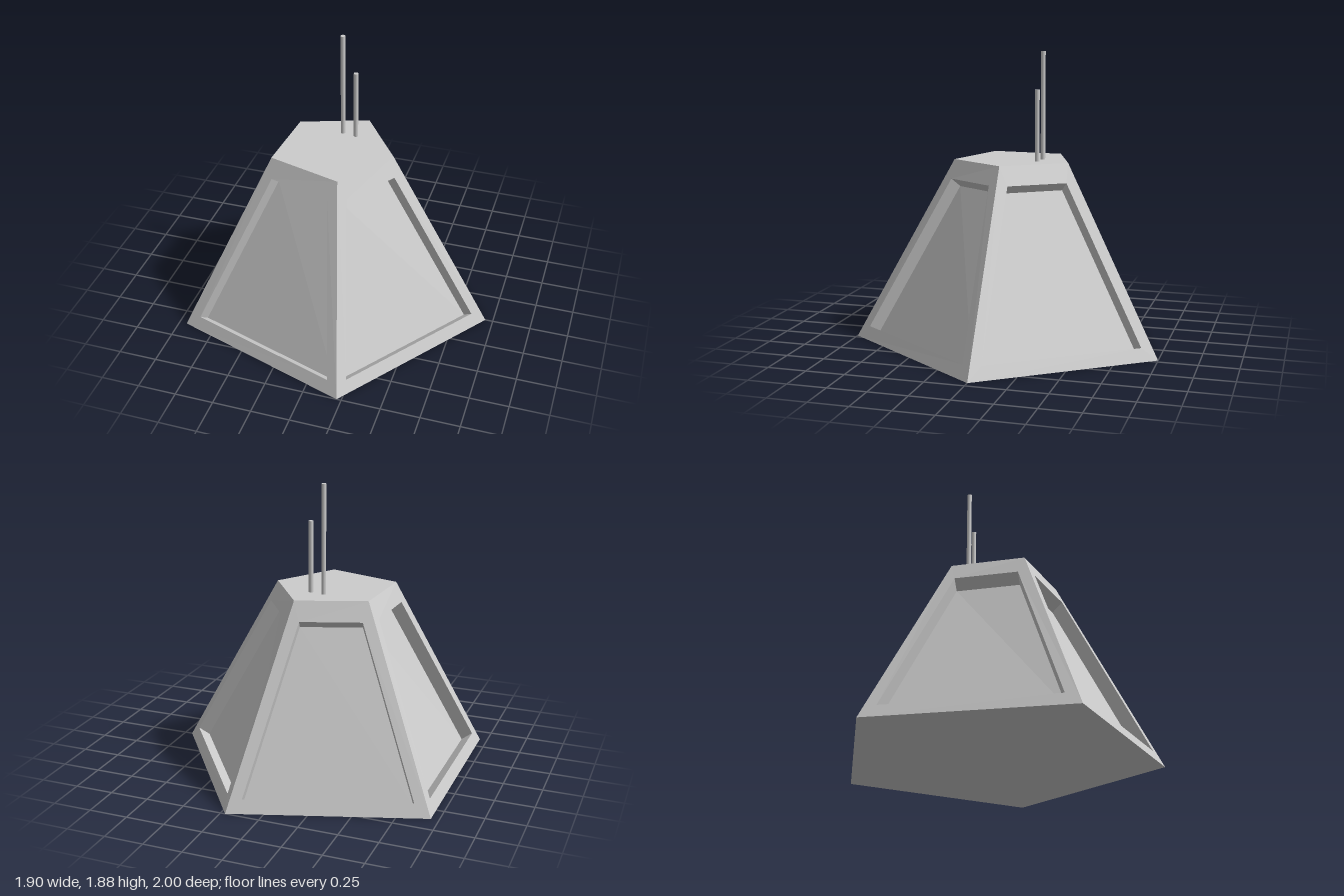
import * as THREE from 'three';

const HEIGHT = 1.18;
const BASE = [[0.95, 0], [0.22, 1], [-0.95, 0.62], [-0.95, -0.62], [0.22, -1]];
const TOP = [[0.285, 0], [0.035, 0.375], [-0.44, 0.24], [-0.41, -0.225], [0.02, -0.375]];
const BORDER = 0.073;   // frame width beside each sloping edge
const DEPTH = 0.07;     // horizontal recess of the panel
const DROP = 0.055;     // downward shift of the panel

const material = new THREE.MeshStandardMaterial({ color: 0xcccccc, flatShading: true });

// Flat-faced mesh from convex polygons, corners counter-clockwise from outside
function polygonMesh(name, polygons) {
  const points = [];
  for (const p of polygons) {
    for (let i = 1; i < p.length - 1; i++) points.push(p[0], p[i], p[i + 1]);
  }
  const geometry = new THREE.BufferGeometry().setFromPoints(points);
  geometry.computeVertexNormals();
  const mesh = new THREE.Mesh(geometry, material);
  mesh.name = name;
  return mesh;
}

// Quads joining one loop of corners to the loop inside it
function ring(outer, inner) {
  return outer.map((p, k) => {
    const n = (k + 1) % outer.length;
    return [p, outer[n], inner[n], inner[k]];
  });
}

function createSide(i) {
  const j = (i + 1) % 5;
  const at = (list, k, y) => new THREE.Vector3(list[k][0], y, list[k][1]);
  const a = at(BASE, i, 0), b = at(BASE, j, 0);
  const c = at(TOP, j, HEIGHT), d = at(TOP, i, HEIGHT);

  // Point on the left or right border of the opening at height y
  const border = (low, high, y, lowEnd, highEnd) => {
    const t = y / HEIGHT;
    const p = low.clone().lerp(high, t);
    const q = lowEnd.clone().lerp(highEnd, t);
    return p.add(q.sub(p).normalize().multiplyScalar(BORDER));
  };
  const outer = [a, d, c, b];
  const opening = [
    border(a, d, 0.08, b, c), border(a, d, 1.06, b, c),
    border(b, c, 1.06, a, d), border(b, c, 0.08, a, d),
  ];

  // Push the opening inward and down to get the recessed panel
  const along = b.clone().sub(a).normalize();
  const shift = new THREE.Vector3(-along.z * DEPTH, -DROP, along.x * DEPTH);
  const panel = opening.map((p) => p.clone().add(shift));

  const side = new THREE.Group();
  side.name = 'side' + (i + 1);
  side.add(
    polygonMesh('frame', ring(outer, opening)),
    polygonMesh('recessWalls', ring(opening, panel)),
    polygonMesh('panel', [panel]),
  );
  return side;
}

function createRod(name, x, z, topY) {
  const bottom = HEIGHT - 0.01;
  const rod = new THREE.Mesh(new THREE.CylinderGeometry(0.015, 0.015, topY - bottom, 16),
    new THREE.MeshStandardMaterial({ color: 0xcccccc }));
  rod.position.set(x, (topY + bottom) / 2, z);
  rod.name = name;
  return rod;
}

export function createModel() {
  const model = new THREE.Group();
  model.name = 'pentagonalFrustum';

  // Five sloping sides with recessed panels
  for (let i = 0; i < 5; i++) model.add(createSide(i));

  // Closed roof and underside
  const roof = TOP.map(([x, z]) => new THREE.Vector3(x, HEIGHT, z)).reverse();
  const floor = BASE.map(([x, z]) => new THREE.Vector3(x, 0, z));
  model.add(polygonMesh('roof', [roof]), polygonMesh('underside', [floor]));

  // Two thin rods on the roof
  model.add(createRod('tallRod', -0.1, -0.18, 1.875));
  model.add(createRod('shortRod', -0.01, -0.165, 1.635));
  return model;
}
